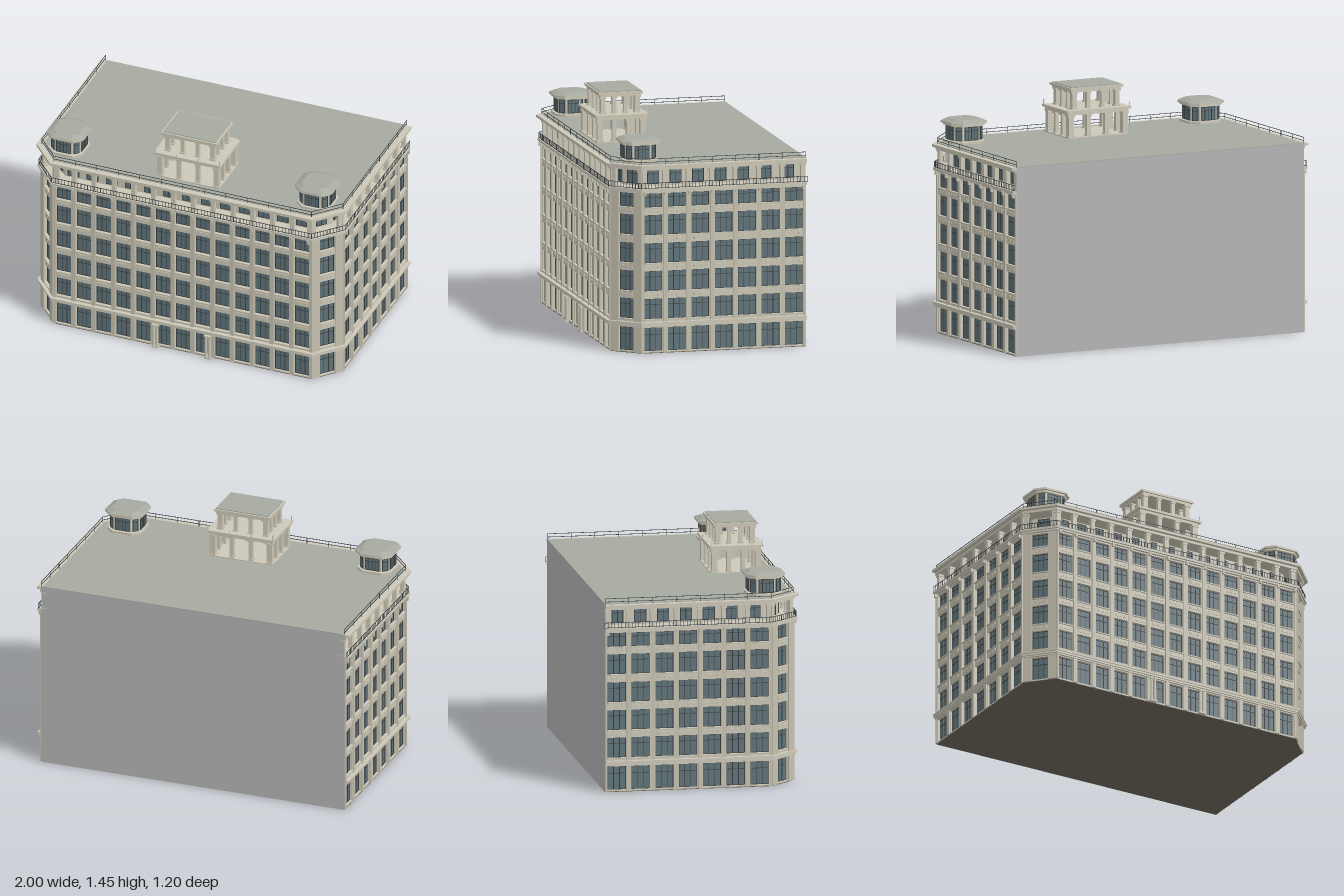
import * as THREE from 'three';
import { mergeGeometries } from 'three/addons/utils/BufferGeometryUtils.js';

const mat = (color) => new THREE.MeshStandardMaterial({ color });
const STONE = mat(0xcdc8b8), PIER = mat(0xc6c1b0), GLASS = mat(0x5f7379), FRAME = mat(0x3b4143);
const ROOF = mat(0xa6a99f), BACK = mat(0xb4b4b4), UNDER = mat(0x6e675c);

// Box given by its centre x, bottom y, centre z and sizes
const box = (x, y, z, w, h, d) => new THREE.BoxGeometry(w, h, d).translate(x, y + h / 2, z);

// Collects geometries under part names and merges each part into one mesh
function partGroup(name) {
  const bins = new Map();
  return {
    add(part, material, geo) {
      if (!bins.has(part)) bins.set(part, { material, geos: [] });
      bins.get(part).geos.push(geo.index ? geo.toNonIndexed() : geo);
    },
    build() {
      const g = new THREE.Group();
      g.name = name;
      for (const [part, { material, geos }] of bins) {
        const m = new THREE.Mesh(mergeGeometries(geos), material);
        m.name = part;
        g.add(m);
      }
      return g;
    },
  };
}

// Horizontal slab from [x, z] points
function slab(points, y, h) {
  const shape = new THREE.Shape(points.map(([x, z]) => new THREE.Vector2(x, -z)));
  return new THREE.ExtrudeGeometry(shape, { depth: h, bevelEnabled: false }).rotateX(-Math.PI / 2).translate(0, y, 0);
}

// Building outline with cut front corners, offset outward by o (back stays in line)
function footprint(o) {
  const x = 0.97 + o, zs = 0.41 + 0.385 * o, xf = 0.83 + 0.445 * o, zf = 0.565 + o;
  return [[-x, -0.6], [-x, zs], [-xf, zf], [xf, zf], [x, zs], [x, -0.6]];
}

// Square outline with cut corners
function cutSquare(r, c) {
  const k = r - c;
  return [[-r, -k], [-r, k], [-k, r], [k, r], [r, k], [r, -k], [k, -r], [-k, -r]];
}

const FLOORS = [[0.012, 0.155], [0.207, 0.33], [0.375, 0.498], [0.545, 0.667], [0.715, 0.838], [0.883, 0.968]];

// Glass pane with frame, mullions and a transom
function addWindow(b, x, y0, y1, w, z, lights = 3) {
  const h = y1 - y0, t = 0.004;
  b.add('glass', GLASS, box(x, y0, z, w, h, 0.006));
  for (let i = 0; i <= lights; i++) {
    const px = x - w / 2 + t / 2 + (i * (w - t)) / lights;
    b.add('windowFrames', FRAME, box(px, y0, z + 0.004, i % lights ? 0.003 : t, h, 0.006));
  }
  for (const y of [y0, y0 + h * 0.68, y1 - t]) b.add('windowFrames', FRAME, box(x, y, z + 0.004, w, 0.003, 0.006));
}

// Thin railing along x
function addRailing(b, part, length, y, h, z, step, levels) {
  const n = Math.max(1, Math.round(length / step));
  for (let i = 0; i <= n; i++) b.add(part, FRAME, box(-length / 2 + (i * length) / n, y, z, 0.0025, h, 0.0025));
  for (const l of levels) b.add(part, FRAME, box(0, y + h * l - 0.003, z, length, 0.003, 0.003));
}

// One facade facing +z, centred on x = 0
function facade(name, length, bays, winW) {
  const b = partGroup(name), pitch = length / bays, half = length / 2;

  // Wall with window openings
  const wall = new THREE.Shape([[-half, 0.004], [half, 0.004], [half, 0.985], [-half, 0.985]].map((p) => new THREE.Vector2(...p)));
  for (let i = 0; i < bays; i++) {
    const x = (i + 0.5) * pitch - half;
    FLOORS.forEach(([y0, y1], f) => {
      const l = x - winW / 2, r = x + winW / 2;
      wall.holes.push(new THREE.Path([[l, y0], [l, y1], [r, y1], [r, y0]].map((p) => new THREE.Vector2(...p))));
      addWindow(b, x, y0, y1, winW, -0.02);
      if (f === 0) return;
      // Sill, spandrel panel and its small blocks
      b.add('sills', PIER, box(x, y0 - 0.007, 0.002, winW, 0.007, 0.012));
      if (f > 1) {
        b.add('spandrelPanels', STONE, box(x, y0 - 0.034, 0.001, winW * 0.8, 0.018, 0.004));
        for (const k of [-0.27, 0, 0.27]) b.add('spandrelBlocks', PIER, box(x + k * winW, y0 - 0.03, 0.003, 0.012, 0.01, 0.004));
      }
    });
    // Set-back attic window
    addWindow(b, x * 0.96, 1.012, 1.1, 0.072, -0.083, 2);
  }
  b.add('wall', STONE, new THREE.ExtrudeGeometry(wall, { depth: 0.026, bevelEnabled: false }).translate(0, 0, -0.026));

  // Piers, balcony brackets and attic columns on every bay line
  for (let i = 0; i <= bays; i++) {
    const end = i === 0 ? 1 : i === bays ? -1 : 0;
    const full = pitch - winW - 0.006, w = end ? full / 2 : full;
    const x = i * pitch - half + (end * w) / 2;
    b.add('piers', PIER, box(x, 0.19, 0.003, w, 0.785, 0.01));
    b.add('piers', PIER, box(x, 0.004, 0.003, w, 0.156, 0.01));
    const cx = i * pitch - half + end * 0.016;
    if (bays > 1) b.add('brackets', PIER, box(cx, 0.957, 0.012, 0.014, 0.024, 0.022));
    b.add('atticColumns', STONE, box(cx, 1, -0.014, 0.026, 0.11, 0.026));
    b.add('atticColumns', STONE, box(cx, 1.097, -0.014, 0.034, 0.013, 0.034));
    b.add('atticColumns', STONE, box(cx, 1, -0.014, 0.034, 0.01, 0.034));
  }
  addRailing(b, 'balconyRailing', length + 0.012, 1, 0.036, 0.017, 0.021, [0.15, 1]);
  addRailing(b, 'roofRailing', length, 1.14, 0.04, 0, 0.14, [0.5, 1]);
  return b.build();
}

// Small glazed corner turret
function turret(name) {
  const b = partGroup(name);
  b.add('base', STONE, slab(cutSquare(0.108, 0.045), 1.14, 0.02));
  b.add('body', STONE, slab(cutSquare(0.092, 0.038), 1.16, 0.1));
  b.add('cornice', STONE, slab(cutSquare(0.108, 0.045), 1.25, 0.012));
  b.add('cornice', STONE, slab(cutSquare(0.12, 0.05), 1.262, 0.012));
  const cap = slab(cutSquare(0.12, 0.05), 1.274, 0.016), p = cap.attributes.position;
  for (let i = 0; i < p.count; i++) if (p.getY(i) > 1.28) p.setXYZ(i, p.getX(i) * 0.7, p.getY(i), p.getZ(i) * 0.7);
  cap.computeVertexNormals();
  b.add('hippedRoof', ROOF, cap);
  const g = b.build();
  // Windows on all eight sides
  for (let i = 0; i < 8; i++) {
    const w = partGroup('turretWindow');
    addWindow(w, 0, 1.165, 1.248, i % 2 ? 0.038 : 0.092, i % 2 ? 0.1035 : 0.092, i % 2 ? 1 : 4);
    const m = w.build();
    m.rotation.y = (i * Math.PI) / 4;
    g.add(m);
  }
  return g;
}

// Open two-tier pavilion on the roof
function pavilion() {
  const b = partGroup('roofPavilion');
  const tier = (part, hx, hz, y, h, w) => {
    for (let i = 0; i < 4; i++) for (let j = 0; j < 4; j++) {
      if (i % 3 && j % 3) continue;
      const x = hx * (-1 + (2 * i) / 3), z = hz * (-1 + (2 * j) / 3), c = i % 3 || j % 3 ? w * 0.75 : w;
      b.add(part, STONE, box(x, y, z, c, h, c));
      b.add(part, STONE, box(x, y + h - 0.012, z, c + 0.01, 0.012, c + 0.01));
      b.add(part, STONE, box(x, y, z, c + 0.008, 0.01, c + 0.008));
    }
  };
  b.add('lowerPlinth', STONE, box(0, 1.14, 0, 0.41, 0.012, 0.31));
  tier('lowerColumns', 0.182, 0.132, 1.15, 0.135, 0.034);
  b.add('lowerCornice', STONE, box(0, 1.284, 0, 0.405, 0.016, 0.3));
  b.add('lowerCornice', STONE, box(0, 1.3, 0, 0.43, 0.014, 0.326));
  tier('upperColumns', 0.145, 0.105, 1.314, 0.105, 0.03);
  b.add('upperCornice', STONE, box(0, 1.417, 0, 0.335, 0.014, 0.25));
  b.add('upperCornice', STONE, box(0, 1.431, 0, 0.355, 0.014, 0.27));
  b.add('pavilionRoof', ROOF, box(0, 1.445, 0, 0.335, 0.005, 0.25));
  // Short posts on the lower ledge
  for (const sx of [-1, 1]) for (const sz of [-1, 1]) {
    b.add('ledgePosts', STONE, box(sx * 0.207, 1.314, sz * 0.155, 0.006, 0.03, 0.006));
    b.add('ledgePosts', STONE, box(sx * 0.07, 1.314, sz * 0.155, 0.006, 0.014, 0.006));
  }
  const g = b.build();
  g.position.z = 0.335;
  return g;
}

export function createModel() {
  const model = new THREE.Group();
  model.name = 'cornerBuilding';
  const b = partGroup('mainBlock');

  // Solid core, floor bands, cornices and roof
  b.add('underside', UNDER, slab(footprint(0), 0, 0.004));
  b.add('core', STONE, slab(footprint(-0.026), 0.004, 0.981));
  b.add('atticWall', STONE, slab(footprint(-0.085), 1, 0.11));
  for (const [o, y, h] of [[0.012, 0.16, 0.008], [0.02, 0.168, 0.012], [0.026, 0.18, 0.01]]) b.add('groundBand', STONE, slab(footprint(o), y, h));
  b.add('balconySlab', STONE, slab(footprint(0.014), 0.976, 0.01));
  b.add('balconySlab', STONE, slab(footprint(0.024), 0.986, 0.014));
  b.add('cornice', STONE, slab(footprint(0.01), 1.11, 0.016));
  b.add('cornice', STONE, slab(footprint(0.03), 1.126, 0.016));
  b.add('roof', ROOF, slab(footprint(-0.008), 1.142, 0.004));
  b.add('backWall', BACK, new THREE.PlaneGeometry(1.94, 1.142).rotateY(Math.PI).translate(0, 0.571, -0.601));

  // Paired entrance columns
  for (const x of [-0.18, -0.158, 0.158, 0.18]) {
    b.add('entranceColumns', STONE, new THREE.CylinderGeometry(0.008, 0.009, 0.15, 10).translate(x, 0.085, 0.582));
    b.add('entranceColumns', STONE, box(x, 0, 0.582, 0.021, 0.012, 0.021));
    b.add('entranceColumns', STONE, box(x, 0.148, 0.582, 0.021, 0.012, 0.021));
  }
  model.add(b.build());

  // Facades
  const place = (g, x, z, angle) => {
    g.position.set(x, 0, z);
    g.rotation.y = angle;
    model.add(g);
  };
  place(facade('frontFacade', 1.66, 13, 0.096), 0, 0.565, 0);
  for (const [s, side] of [[1, 'left'], [-1, 'right']]) {
    place(facade(side + 'Facade', 1.01, 7, 0.112), s * 0.97, -0.095, (s * Math.PI) / 2);
    place(facade(side + 'CornerFacade', 0.209, 1, 0.1), s * 0.9, 0.4875, s * Math.atan2(0.155, 0.14));
    place(turret(side + 'Turret'), s * 0.8, 0.39, 0);
  }
  model.add(pavilion());
  return model;
}
